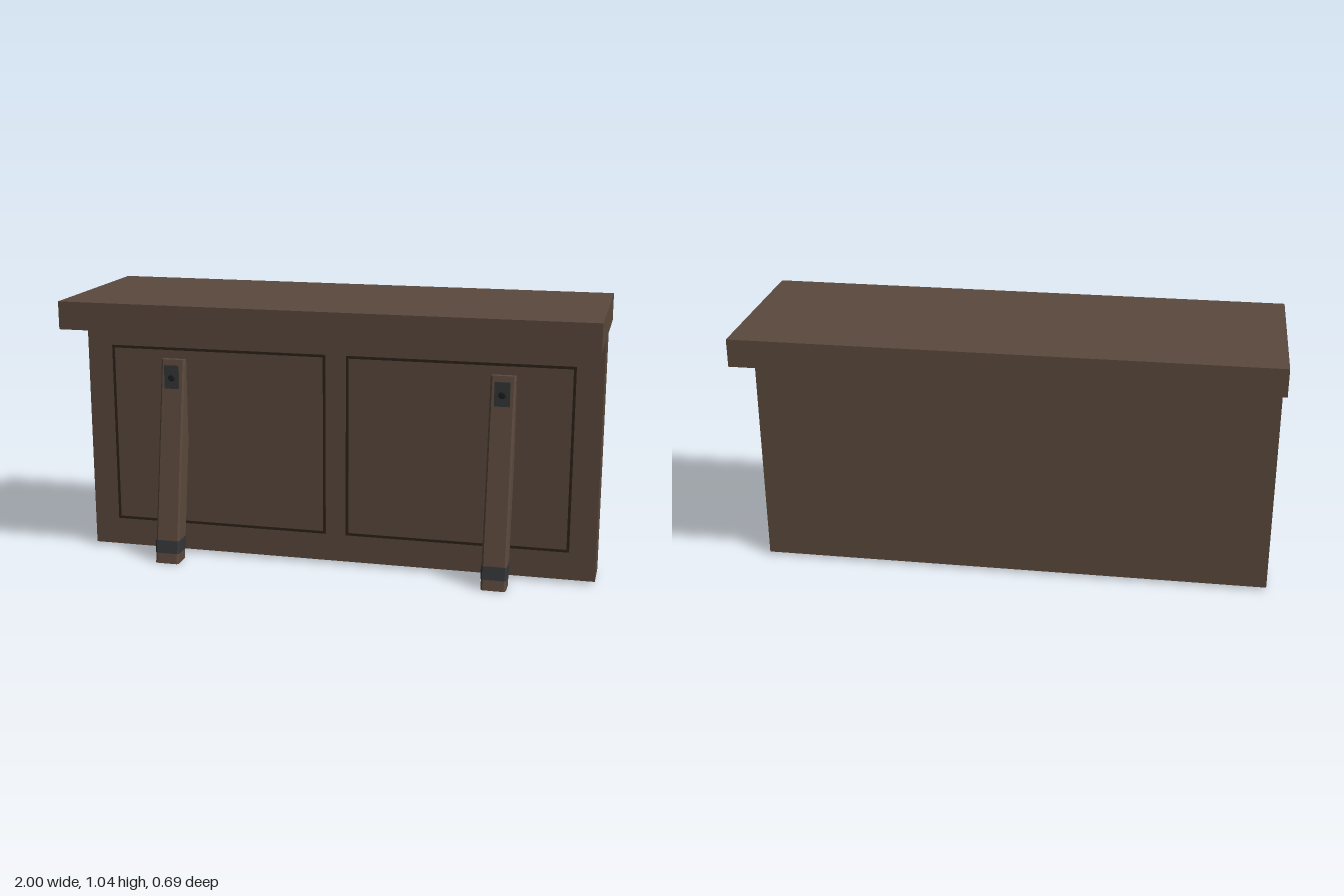
import * as THREE from 'three';

const wood = new THREE.MeshStandardMaterial({ color: 0x5b493d });
wood.name = 'brown wood';
const groove = new THREE.MeshStandardMaterial({ color: 0x2c2219 });
groove.name = 'dark groove';
const iron = new THREE.MeshStandardMaterial({ color: 0x353637 });
iron.name = 'dark iron';
const boltIron = new THREE.MeshStandardMaterial({ color: 0x1c1e20 });
boltIron.name = 'black iron';

function add(parent, name, geometry, material, x = 0, y = 0, z = 0) {
  const mesh = new THREE.Mesh(geometry, material);
  mesh.name = name;
  mesh.position.set(x, y, z);
  parent.add(mesh);
  return mesh;
}

function box(parent, name, material, w, h, d, x, y, z) {
  return add(parent, name, new THREE.BoxGeometry(w, h, d), material, x, y, z);
}

// Chamfered beam from y0 to y1, leaning back with height, with level ends
const LEAN = 0.17;
function leaningBeam(w, d, chamfer, y0, y1, zBase) {
  const a = w / 2, b = d / 2, c = chamfer;
  const outline = new THREE.Shape([
    [-a + c, -b], [a - c, -b], [a, -b + c], [a, b - c],
    [a - c, b], [-a + c, b], [-a, b - c], [-a, -b + c],
  ].map(([x, y]) => new THREE.Vector2(x, y)));
  const geo = new THREE.ExtrudeGeometry(outline, { depth: y1 - y0, bevelEnabled: false });
  geo.rotateX(-Math.PI / 2).translate(0, y0, 0);
  const p = geo.attributes.position;
  for (let i = 0; i < p.count; i++) p.setZ(i, p.getZ(i) + zBase - LEAN * p.getY(i));
  geo.computeVertexNormals();
  return geo;
}

// Thin rectangular groove outline on the front of the wall panel
function grooveFrame(w, h, t) {
  const s = new THREE.Shape();
  s.moveTo(-w / 2, -h / 2).lineTo(w / 2, -h / 2).lineTo(w / 2, h / 2).lineTo(-w / 2, h / 2).closePath();
  const x = w / 2 - t, y = h / 2 - t;
  const hole = new THREE.Path();
  hole.moveTo(-x, -y).lineTo(-x, y).lineTo(x, y).lineTo(x, -y).closePath();
  s.holes.push(hole);
  return new THREE.ExtrudeGeometry(s, { depth: 0.002, bevelEnabled: false });
}

export function createModel() {
  const model = new THREE.Group();
  model.name = 'counter';

  // Counter top and upright panel
  box(model, 'counterTop', wood, 2, 0.105, 0.69, 0, 0.985, 0);
  box(model, 'uprightPanel', wood, 2, 0.92, 0.15, 0, 0.472, 0.012);

  for (const side of [-1, 1]) {
    // Panel groove
    add(model, 'panelGroove', grooveFrame(0.86, 0.71, 0.01), groove, side * 0.47, 0.475, 0.087);

    // Leaning support with an iron band near the foot
    const support = new THREE.Group();
    support.name = side > 0 ? 'leftSupport' : 'rightSupport';
    support.position.x = side * 0.64 - 0.003;
    model.add(support);
    add(support, 'supportBeam', leaningBeam(0.094, 0.084, 0.007, 0, 0.787, 0.2), wood);
    add(support, 'footBand', leaningBeam(0.098, 0.088, 0.007, 0.04, 0.09, 0.2), iron);

    // Bracket plate and bolt near the top
    box(support, 'bracketPlate', iron, 0.058, 0.092, 0.005, 0, 0.722, 0.127);
    const bolt = new THREE.CylinderGeometry(0.01, 0.014, 0.006, 12);
    bolt.rotateX(Math.PI / 2);
    add(support, 'bolt', bolt, boltIron, 0, 0.719, 0.132);
  }
  return model;
}
